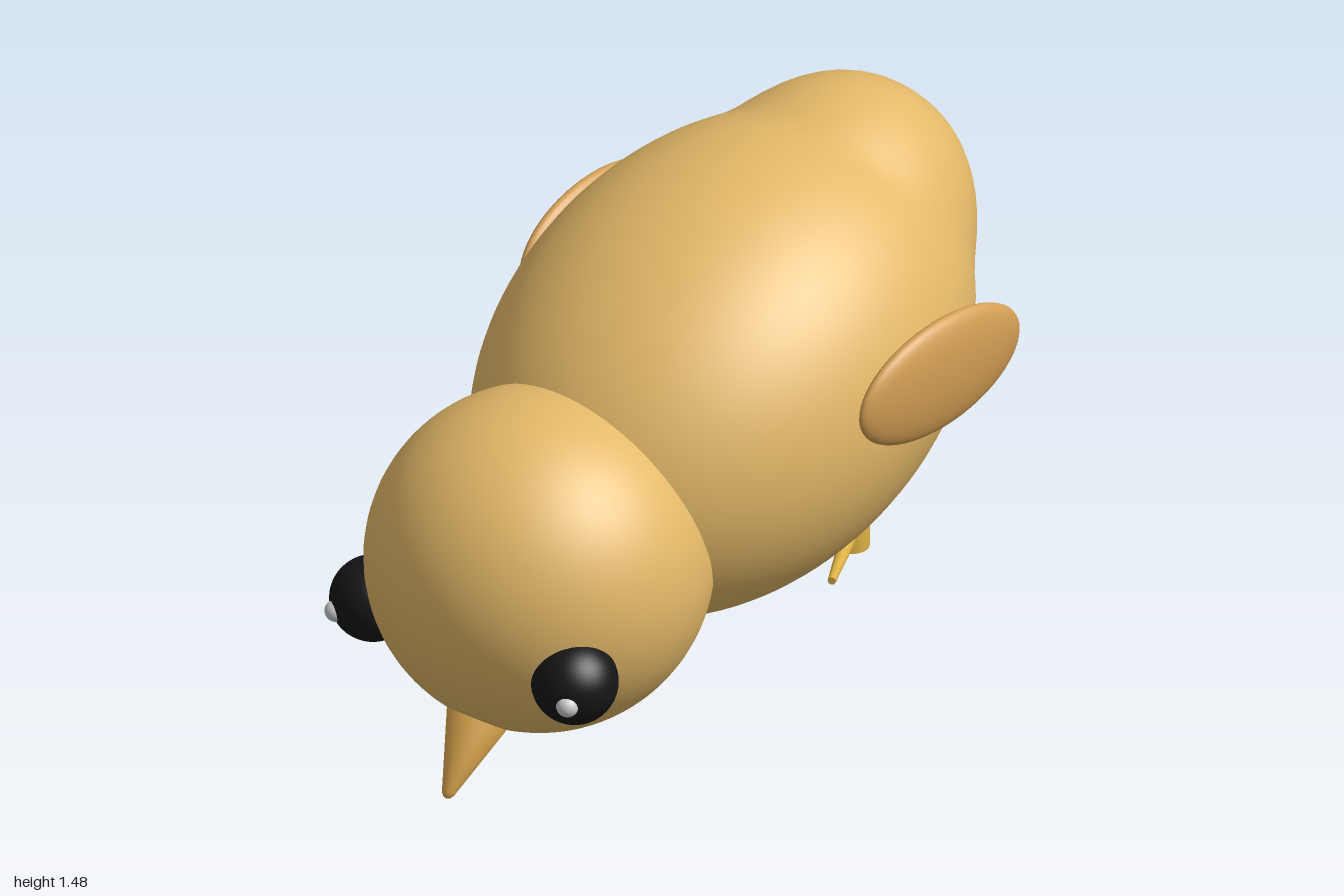
import * as THREE from 'three';
import { mergeVertices } from 'three/addons/utils/BufferGeometryUtils.js';

const paint = (color) => new THREE.MeshStandardMaterial({ color });
const down = paint(0xe3b868);
const wingMat = paint(0xd49f55);
const beakMat = paint(0xdba64e);
const legMat = paint(0xdcb044);
const black = paint(0x151515);
const white = paint(0xcccccc);

function add(parent, name, geometry, material, x = 0, y = 0, z = 0) {
  const mesh = new THREE.Mesh(geometry, material);
  mesh.name = name;
  mesh.position.set(x, y, z);
  parent.add(mesh);
  return mesh;
}

// Tilted ellipsoid with a rounded tail swelling smoothly out of its upper back
function bodyGeometry() {
  const geo = new THREE.SphereGeometry(1, 80, 60);
  geo.rotateX(Math.PI / 2);
  geo.scale(0.585, 0.56, 0.78);
  geo.rotateX(0.405);
  const tail = new THREE.Vector3(0, 0.283, -0.475);
  const tailRadius = 0.345;
  const blend = 0.1;
  const pos = geo.attributes.position;
  const p = new THREE.Vector3();
  for (let i = 0; i < pos.count; i++) {
    p.fromBufferAttribute(pos, i);
    const a = p.length();
    p.normalize();
    const along = p.dot(tail);
    const disc = along * along - tail.lengthSq() + tailRadius * tailRadius;
    const b = disc > 0 && along > 0 ? along + Math.sqrt(disc) : 0;
    const h = Math.max(blend - Math.abs(a - b), 0);
    p.multiplyScalar(Math.max(a, b) + (h * h) / (4 * blend));
    pos.setXYZ(i, p.x, p.y, p.z);
  }
  geo.deleteAttribute('uv');
  geo.deleteAttribute('normal');
  const merged = mergeVertices(geo, 1e-5);
  merged.computeVertexNormals();
  return merged;
}

// Three splayed, tapering toes in front of a short leg
function makeFoot(side) {
  const foot = new THREE.Group();
  foot.name = side > 0 ? 'leftFoot' : 'rightFoot';
  foot.position.set(side * 0.235, 0.3, -0.425);
  add(foot, 'leg', new THREE.CylinderGeometry(0.05, 0.05, 0.26, 32), legMat, 0, 0.13, 0);
  for (const k of [-1, 0, 1]) {
    const length = k ? 0.25 : 0.285;
    const geo = new THREE.CylinderGeometry(0.011, 0.024, length, 20);
    geo.translate(0, length / 2, 0);
    geo.rotateX(Math.PI / 2 + 0.07);
    geo.rotateY(k * 0.52);
    add(foot, 'toe', geo, legMat, 0, 0.042, 0);
  }
  return foot;
}

export function createModel() {
  const chick = new THREE.Group();
  chick.name = 'chick';

  add(chick, 'body', bodyGeometry(), down, 0, 0.857, -0.185);
  add(chick, 'head', new THREE.SphereGeometry(0.46, 64, 48), down, 0, 0.57, 0.54);

  // Beak: cone with a rounded tip, pointing down and forward
  const profile = [[0, 0], [0.009, 0.003], [0.015, 0.01], [0.019, 0.02], [0.108, 0.3], [0, 0.3]]
    .map(([r, h]) => new THREE.Vector2(r, h));
  const beak = add(chick, 'beak', new THREE.LatheGeometry(profile, 40), beakMat, 0, 0.004, 0.91);
  beak.rotation.x = -0.575;

  for (const side of [1, -1]) {
    const label = side > 0 ? 'left' : 'right';
    add(chick, label + 'Eye', new THREE.SphereGeometry(0.115, 40, 28), black, side * 0.35, 0.43, 0.8);
    add(chick, label + 'EyeGlint', new THREE.SphereGeometry(0.03, 24, 16), white, side * 0.402, 0.41, 0.888);

    // Flat oval wing lying against the flank
    const wing = add(chick, label + 'Wing', new THREE.SphereGeometry(1, 48, 32), wingMat, side * 0.598, 0.96, -0.362);
    wing.scale.set(0.05, 0.167, 0.304);
    wing.rotation.set(0.07, -side * 0.03, -side * 0.06);

    chick.add(makeFoot(side));
  }
  return chick;
}
